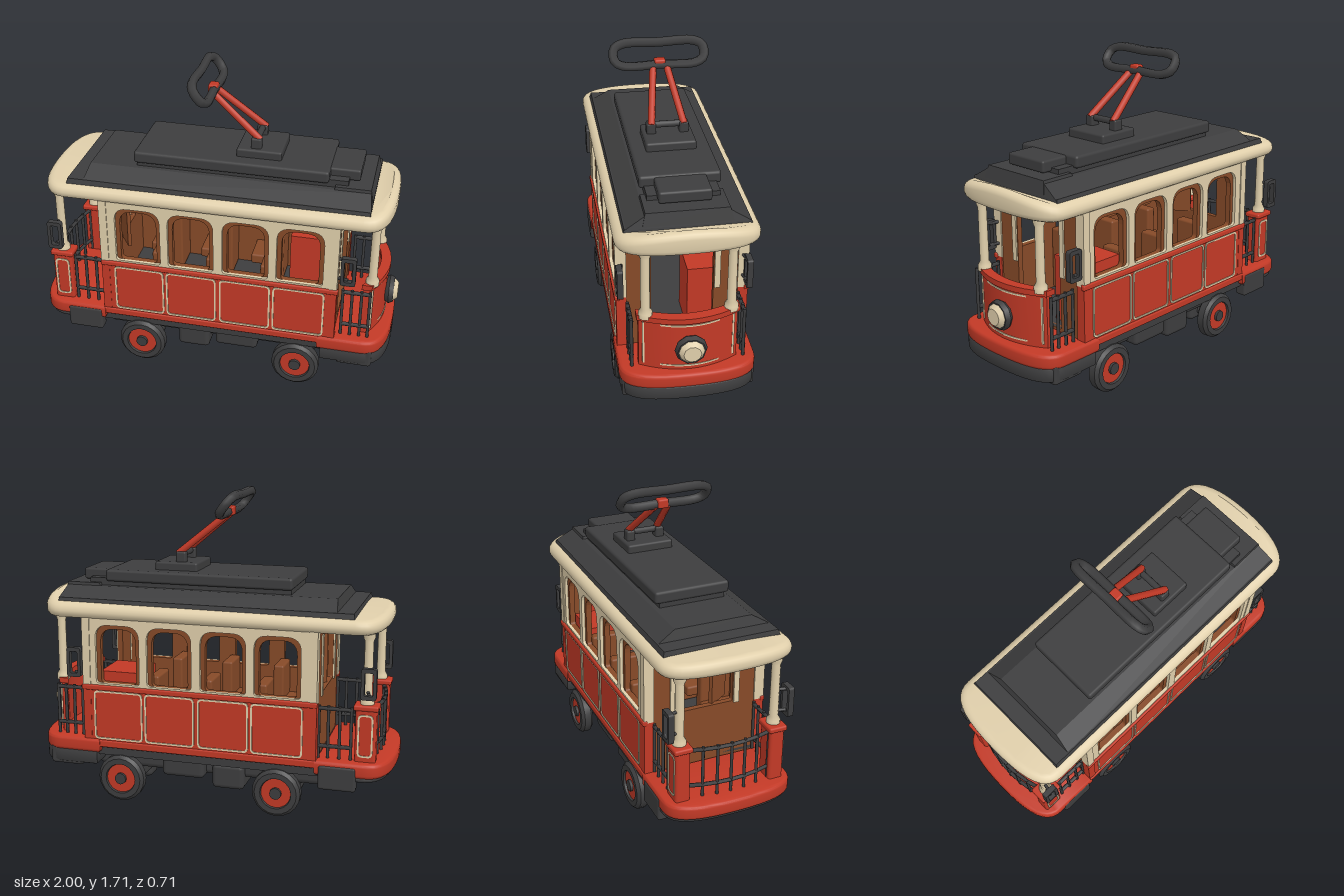
import * as THREE from 'three';
import { toCreasedNormals } from 'three/addons/utils/BufferGeometryUtils.js';
import { RoundedBoxGeometry } from 'three/addons/geometries/RoundedBoxGeometry.js';

const mat = (name, color) => new THREE.MeshStandardMaterial({ name, color });

export function createModel() {
  const red = mat('red paint', 0xc23926), cream = mat('cream paint', 0xe0cfab);
  const dark = mat('charcoal', 0x3d3d3e), brown = mat('brown wood', 0x864a28);
  const tram = new THREE.Group();
  tram.name = 'tram';

  const add = (name, geo, m, x = 0, y = 0, z = 0) => {
    const mesh = new THREE.Mesh(geo, m);
    mesh.name = name;
    mesh.position.set(x, y, z);
    tram.add(mesh);
    return mesh;
  };
  // box given by its extents
  const box = (name, m, x0, x1, y0, y1, z0, z1, r = 0) => {
    const s = [x1 - x0, y1 - y0, z1 - z0];
    const geo = r ? new RoundedBoxGeometry(...s, 2, r) : new THREE.BoxGeometry(...s);
    return add(name, geo, m, (x0 + x1) / 2, (y0 + y1) / 2, (z0 + z1) / 2);
  };
  // box whose top is drawn in by an inset
  const taper = (name, m, x0, x1, y0, y1, zh, ix, iz) => {
    const mesh = box(name, m, x0, x1, y0, y1, -zh, zh);
    const p = mesh.geometry.attributes.position;
    for (let i = 0; i < p.count; i++) if (p.getY(i) > 0) {
      p.setX(i, p.getX(i) - Math.sign(p.getX(i)) * ix);
      p.setZ(i, p.getZ(i) - Math.sign(p.getZ(i)) * iz);
    }
    mesh.geometry.computeVertexNormals();
  };
  const rod = (name, m, a, b, r, sides = 8) => {
    const va = new THREE.Vector3(...a), d = new THREE.Vector3(...b).sub(va);
    const mesh = add(name, new THREE.CylinderGeometry(r, r, d.length(), sides), m);
    mesh.position.copy(va).addScaledVector(d, 0.5);
    mesh.quaternion.setFromUnitVectors(new THREE.Vector3(0, 1, 0), d.normalize());
  };
  // plan outline with bowed ends; a square start where bowStart is off
  const plan = (x0, x1, z, bowStart) => {
    const s = new THREE.Shape(), c = 0.15;
    s.moveTo(bowStart ? x0 + c : x0, -z).lineTo(x1 - c, -z);
    s.bezierCurveTo(x1 - 0.04, -z, x1, -z * 0.7, x1, 0);
    s.bezierCurveTo(x1, z * 0.7, x1 - 0.04, z, x1 - c, z);
    s.lineTo(bowStart ? x0 + c : x0, z);
    if (bowStart) {
      s.bezierCurveTo(x0 + 0.04, z, x0, z * 0.7, x0, 0);
      s.bezierCurveTo(x0, -z * 0.7, x0 + 0.04, -z, x0 + c, -z);
    }
    return s;
  };
  // horizontal slab raised from a plan outline
  const slab = (shape, y0, y1, bt, bs) => {
    const g = new THREE.ExtrudeGeometry(shape, {
      depth: y1 - y0 - 2 * bt, bevelEnabled: bt > 0, bevelThickness: bt, bevelSize: bs,
      bevelOffset: -bs, bevelSegments: 4, curveSegments: 10,
    });
    return toCreasedNormals(g.rotateX(-Math.PI / 2).translate(0, y0 + bt, 0), 0.7);
  };
  const roundRect = (S, x0, x1, y0, y1, rb, rt) => {
    const s = new S();
    s.moveTo(x0 + rb, y0).lineTo(x1 - rb, y0).quadraticCurveTo(x1, y0, x1, y0 + rb);
    s.lineTo(x1, y1 - rt).quadraticCurveTo(x1, y1, x1 - rt, y1);
    s.lineTo(x0 + rt, y1).quadraticCurveTo(x0, y1, x0, y1 - rt);
    s.lineTo(x0, y0 + rb).quadraticCurveTo(x0, y0, x0 + rb, y0);
    return s;
  };
  const sheet = (shape, depth) => new THREE.ExtrudeGeometry(shape, { depth, bevelEnabled: false, curveSegments: 6 });
  const outline = (x0, x1, y0, y1) => {
    const s = roundRect(THREE.Shape, x0, x1, y0, y1, 0.025, 0.025), w = 0.009;
    s.holes.push(roundRect(THREE.Path, x0 + w, x1 - w, y0 + w, y1 - w, 0.02, 0.02));
    return sheet(s, 0.006);
  };

  // End platforms and bumpers
  for (const s of [1, -1]) {
    const turn = s > 0 ? 0 : Math.PI;
    add('platform', slab(plan(0.6, s > 0 ? 0.985 : 1, 0.35, false), 0.275, 0.355, 0.02, 0.018), red).rotation.y = turn;
    add('bumper', slab(plan(0.62, 0.985, 0.345, false), s > 0 ? 0.205 : 0.255, 0.285, 0.014, 0.014), dark).rotation.y = turn;
  }
  for (const z of [-1, 1]) {
    box('step', dark, -0.82, -0.62, 0.2, 0.335, z * 0.32 - 0.035, z * 0.32 + 0.035, 0.015);
    box('step', dark, 0.71, 0.9, 0.19, 0.3, z * 0.29 - 0.05, z * 0.29 + 0.05, 0.015);
  }

  // Chassis
  box('chassisFrame', dark, -0.72, 0.74, 0.26, 0.345, -0.32, 0.32);
  box('underframe', dark, -0.62, 0.66, 0.17, 0.28, -0.23, 0.23, 0.03);
  box('equipmentBox', dark, -0.2, -0.02, 0.11, 0.25, -0.27, 0.27, 0.025);
  box('equipmentBox', dark, 0.02, 0.26, 0.16, 0.28, -0.29, 0.29, 0.025);

  // Wheels, axles and gearboxes
  const tyre = [[0.075, -0.035], [0.115, -0.035], [0.132, -0.02], [0.132, 0.02], [0.115, 0.037], [0.085, 0.037], [0.08, 0.02]]
    .map(([r, h]) => new THREE.Vector2(r, h));
  for (const [x, y] of [[-0.395, 0.145], [0.485, 0.135]]) {
    rod('axle', dark, [x, y, -0.3], [x, y, 0.3], 0.03, 12);
    box('axleHousing', dark, x - 0.085, x + 0.085, 0.095, 0.24, -0.2, 0.2, 0.025);
    box('gearbox', dark, x - 0.08, x + 0.08, 0.045, 0.2, -0.06, 0.06, 0.03);
    for (const s of [1, -1]) {
      const wheel = new THREE.Group();
      wheel.name = 'wheel';
      const part = (name, geo, m, h) => {
        const mesh = new THREE.Mesh(geo, m);
        mesh.name = name;
        mesh.position.y = h;
        wheel.add(mesh);
      };
      part('tyre', toCreasedNormals(new THREE.LatheGeometry(tyre, 20).toNonIndexed(), 0.6), dark, 0);
      part('wheelDisc', new THREE.CylinderGeometry(0.084, 0.084, 0.05, 18), red, 0);
      part('hub', new THREE.CylinderGeometry(0.032, 0.032, 0.02, 12), dark, 0.03);
      wheel.position.set(x, y, s * 0.307);
      wheel.rotation.x = s * Math.PI / 2;
      tram.add(wheel);
    }
  }

  // Cabin side walls, with four windows and four panels a side
  const windows = [-0.395, -0.102, 0.197, 0.49];
  const wall = (inset, depth, y0) => {
    const s = roundRect(THREE.Shape, -0.6, 0.69, y0, 1.06, 0.001, 0.001);
    for (const x of windows)
      s.holes.push(roundRect(THREE.Path, x - 0.125 + inset, x + 0.125 - inset, 0.675, 1.0 - inset, 0.02, 0.075));
    return sheet(s, depth);
  };
  for (const s of [1, -1]) {
    add('upperSideWall', wall(0, 0.018, 0.65), cream, 0, 0, s > 0 ? 0.318 : -0.336);
    add('innerSideWall', wall(0.024, 0.032, 0.36), brown, 0, 0, s > 0 ? 0.286 : -0.318);
    box('lowerSideWall', red, -0.6, 0.69, 0.315, 0.655, s * 0.327 - 0.01, s * 0.327 + 0.01);
    box('waistRail', red, -0.61, 0.7, 0.635, 0.665, s * 0.334 - 0.014, s * 0.334 + 0.014, 0.008);
    box('sillRail', red, -0.61, 0.7, 0.31, 0.35, s * 0.334 - 0.012, s * 0.334 + 0.012, 0.008);
    for (const x of windows)
      add('panelTrim', outline(x - 0.14, x + 0.14, 0.357, 0.633), cream, 0, 0, s > 0 ? 0.336 : -0.342);
    for (const x of [-0.585, 0.67]) {
      box('cornerPost', cream, x - 0.022, x + 0.022, 0.65, 1.06, s * 0.313 - 0.028, s * 0.313 + 0.028);
      box('cornerPanel', red, x - 0.022, x + 0.022, 0.32, 0.65, s * 0.313 - 0.026, s * 0.313 + 0.026);
    }
  }

  // Cabin end walls: a doorway in front, a window behind with a leaf ajar
  for (const [x, sill] of [[-0.6, 0.67], [0.655, 0.37]]) {
    const s = roundRect(THREE.Shape, -0.3, 0.3, 0.34, 1.06, 0.001, 0.001);
    s.holes.push(roundRect(THREE.Path, -0.16, 0.16, sill, 0.99, 0.01, 0.04));
    add('endWall', sheet(s, 0.03).rotateY(Math.PI / 2), brown, x, 0, 0);
    const face = x > 0 ? x + 0.03 : x - 0.008;
    for (const z of [-0.18, 0.18]) box('doorFrame', cream, face, face + 0.008, 0.66, 0.99, z - 0.015, z + 0.015);
  }
  const leaf = box('windowLeaf', brown, -0.01, 0.01, 0.66, 0.98, -0.07, 0.07);
  leaf.position.set(-0.54, 0.82, 0.1);
  leaf.rotation.y = 0.6;

  // Interior
  box('floor', dark, -0.6, 0.68, 0.345, 0.37, -0.3, 0.3);
  for (const x of [-0.29, 0.01, 0.31]) for (const s of [1, -1]) {
    box('seatBack', brown, x - 0.04, x + 0.02, 0.37, 0.725, s * 0.2 - 0.09, s * 0.2 + 0.09, 0.012);
    box('seat', brown, x - 0.17, x, 0.47, 0.53, s * 0.2 - 0.09, s * 0.2 + 0.09, 0.012);
  }
  box('cabinet', red, 0.38, 0.61, 0.37, 0.73, -0.28, -0.04);

  // Cream canopy, its top crowned towards the leading end
  const canopy = slab(plan(-0.945, 0.955, 0.357, true), 1.03, 1.105, 0.034, 0.04);
  const cp = canopy.attributes.position;
  for (let i = 0; i < cp.count; i++) if (cp.getY(i) > 1.07)
    cp.setY(i, cp.getY(i) + (cp.getX(i) > 0 ? 0.05 : 0.01) * (1 - (cp.getZ(i) / 0.357) ** 2));
  add('canopy', toCreasedNormals(canopy, 0.7), cream);
  add('ceiling', slab(plan(-0.87, 0.88, 0.29, true), 1.024, 1.032, 0, 0), brown);

  // Dark roof, stepped up to the raised deck
  taper('roofBase', dark, -0.79, 0.84, 1.085, 1.135, 0.322, 0.01, 0.015);
  taper('roofSlope', dark, -0.695, 0.835, 1.13, 1.19, 0.308, 0.015, 0.1);
  taper('roofStep', dark, 0.62, 0.835, 1.14, 1.205, 0.22, 0.015, 0.015);
  box('deckSupport', dark, -0.43, 0.7, 1.17, 1.23, -0.18, 0.18);
  box('raisedDeck', dark, -0.44, 0.6, 1.215, 1.28, -0.205, 0.205, 0.015);
  box('deckTail', dark, 0.5, 0.755, 1.21, 1.272, -0.13, 0.13, 0.012);

  // Current collector
  box('collectorBase', dark, 0.1, 0.34, 1.27, 1.325, -0.13, 0.13, 0.012);
  rod('hinge', dark, [0.2, 1.365, -0.1], [0.2, 1.365, 0.1], 0.018);
  for (const s of [1, -1]) {
    box('hingeBlock', dark, 0.172, 0.228, 1.31, 1.38, s * 0.085 - 0.024, s * 0.085 + 0.024, 0.01);
    rod('collectorArm', red, [0.22, 1.368, s * 0.085], [-0.05, 1.59, s * 0.035], 0.019);
  }
  box('armHead', red, -0.075, -0.025, 1.575, 1.625, -0.03, 0.03, 0.01);
  const ring = [];
  for (const [l, w] of [[0.19, 1], [0, 1], [-0.19, 1], [-0.235, 0.55], [-0.235, -0.55], [-0.19, -1], [0, -1], [0.19, -1], [0.235, -0.55], [0.235, 0.55]])
    ring.push(new THREE.Vector3(-0.08 - w * 0.036, 1.643 + w * 0.048, l));
  add('collectorBow', new THREE.TubeGeometry(new THREE.CatmullRomCurve3(ring, true), 48, 0.025, 6, true), dark);

  // Canopy posts and rear corner pillars
  const postProfile = [[0.036, 0.65], [0.036, 0.68], [0.024, 0.7], [0.023, 0.99], [0.031, 1.01], [0.033, 1.05]]
    .map(([r, y]) => new THREE.Vector2(r, y));
  for (const s of [1, -1]) {
    add('canopyPost', new THREE.LatheGeometry(postProfile, 12), cream, 0.865, 0, s * 0.215);
    add('canopyPost', new THREE.LatheGeometry(postProfile, 12), cream, -0.855, 0, s * 0.26);
    box('cornerPillar', red, -0.91, -0.8, 0.34, 0.64, s * 0.26 - 0.04, s * 0.26 + 0.04, 0.015);
    box('pillarCap', red, -0.92, -0.79, 0.63, 0.66, s * 0.26 - 0.05, s * 0.26 + 0.05, 0.01);
    add('pillarTrim', outline(-0.895, -0.815, 0.38, 0.61), cream, 0, 0, s > 0 ? 0.298 : -0.304);
  }

  // Bowed front dash with headlight
  const bow = (xo, t, zh) => {
    const s = new THREE.Shape();
    s.moveTo(xo - 0.075, -zh).quadraticCurveTo(xo + 0.075, 0, xo - 0.075, zh);
    s.lineTo(xo - 0.075 - t, zh).quadraticCurveTo(xo + 0.075 - t, 0, xo - 0.075 - t, -zh);
    return s;
  };
  add('dash', slab(bow(0.935, 0.035, 0.25), 0.34, 0.65, 0, 0), red);
  add('dashRail', slab(bow(0.945, 0.055, 0.26), 0.635, 0.665, 0, 0), red);
  for (const y of [0.375, 0.615]) add('dashTrim', slab(bow(0.939, 0.008, 0.235), y, y + 0.009, 0, 0), cream);
  for (const s of [1, -1]) box('dashTrim', cream, 0.866, 0.877, 0.375, 0.624, s * 0.228 - 0.005, s * 0.228 + 0.005);
  const lamp = (name, r0, r1, x0, x1, m) =>
    add(name, new THREE.CylinderGeometry(r1, r0, x1 - x0, 10).rotateZ(-Math.PI / 2), m, (x0 + x1) / 2, 0.49, 0);
  lamp('headlightBase', 0.06, 0.083, 0.915, 0.95, dark);
  lamp('headlightRim', 0.083, 0.072, 0.95, 0.975, dark);
  lamp('headlightLens', 0.066, 0.045, 0.974, 0.998, cream);

  // Railings and side gates
  const railing = (pts) => pts.forEach(([x, z], i) => {
    rod('railingBar', dark, [x, 0.35, z], [x, 0.64, z], 0.009, 6);
    if (i) for (const y of [0.42, 0.625]) rod('railingRail', dark, [pts[i - 1][0], y, pts[i - 1][1]], [x, y, z], 0.011, 6);
  });
  for (const s of [1, -1]) {
    railing([0.72, 0.77, 0.82, 0.865].map((x) => [x, s * 0.285]));
    railing([-0.78, -0.72, -0.66, -0.61].map((x) => [x, s * 0.285]));
  }
  railing([-3, -2, -1, 0, 1, 2, 3].map((i) => [-0.915 + 0.004 * i * i, i * 0.075]));

  // Mirrors on short brackets
  for (const s of [1, -1]) for (const x of [-0.87, 0.745]) {
    const m = roundRect(THREE.Shape, -0.04, 0.04, 0.7, 0.865, 0.015, 0.015);
    m.holes.push(roundRect(THREE.Path, -0.022, 0.022, 0.722, 0.843, 0.008, 0.008));
    add('mirrorFrame', sheet(m, 0.03), dark, x, 0, s * 0.326 - 0.015);
    const end = x < 0 ? [-0.855, 0.26] : [0.69, 0.31];
    for (const y of [0.725, 0.845]) rod('mirrorBracket', dark, [x, y, s * 0.32], [end[0], y, s * end[1]], 0.009, 6);
  }
  return tram;
}
